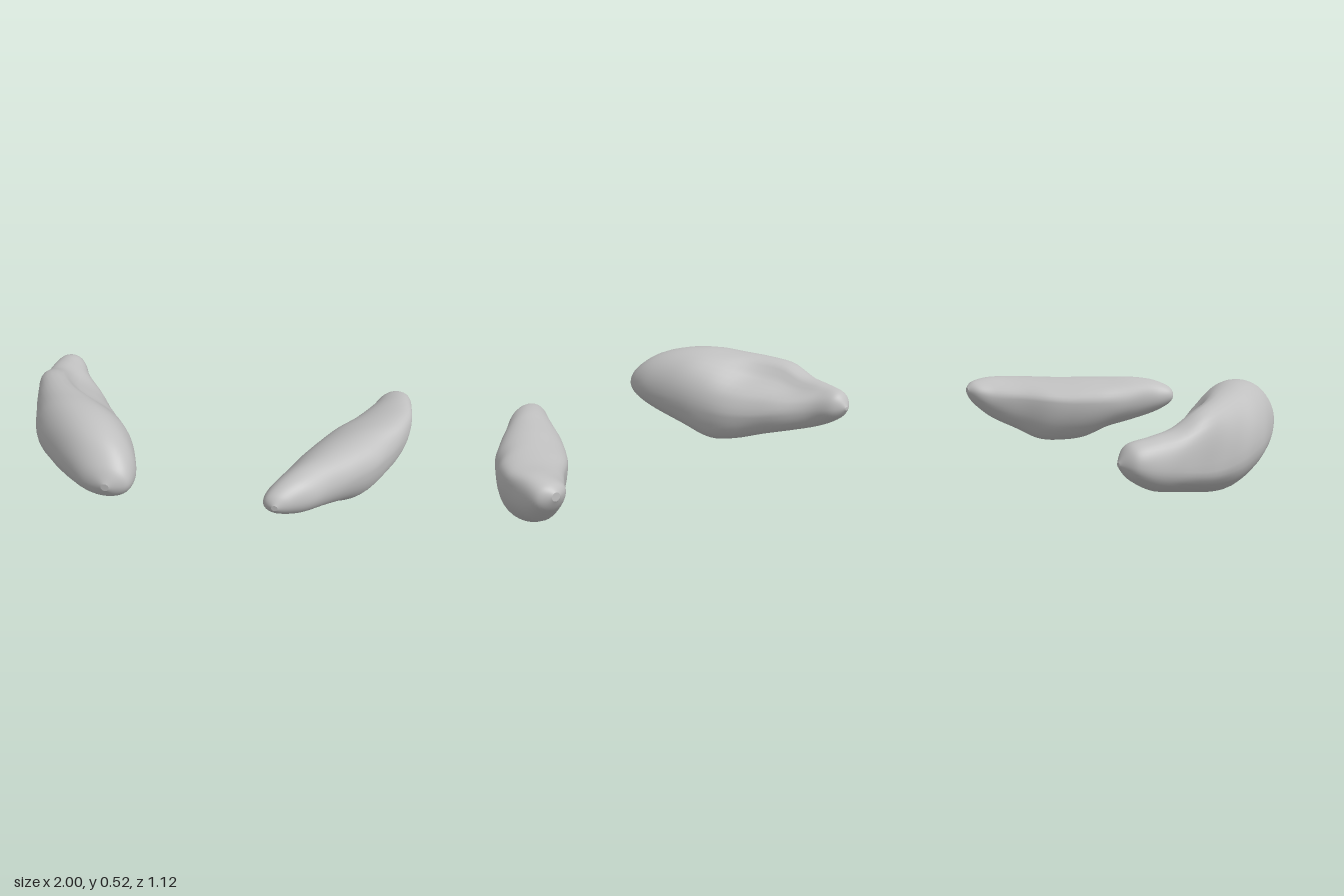
import * as THREE from 'three';

const stone = new THREE.MeshStandardMaterial({ color: 0xc0c0c0 });
stone.name = 'pale grey';

// Smooth value of one column of the key table at position t (0..1)
function sample(rows, col, t) {
  const f = t * (rows.length - 1);
  const i = Math.min(Math.floor(f), rows.length - 2);
  const u = f - i;
  const at = (k) => rows[Math.max(0, Math.min(rows.length - 1, k))][col];
  const a = at(i - 1), b = at(i), c = at(i + 1), d = at(i + 2);
  return b + 0.5 * u * (c - a + u * (2 * a - 5 * b + 4 * c - d + u * (3 * (b - c) + d - a)));
}

// Lofted lump; shoulder and taper set how full the upper and lower halves are. Each row:
// z, xMin, xMax, yBottom, yMiddle, yTop, crest lean, keel lean, dent on the upper +x flank
function lump(name, shoulder, taper, rows) {
  const rings = 72, sides = 40, pos = [], idx = [];
  for (let r = 0; r <= rings; r++) {
    const t = (1 - Math.cos((Math.PI * r) / rings)) / 2;
    const [z, x0, x1, yb, ym, yt, crest, keel, dent] = rows[0].map((_, c) => sample(rows, c, t));
    for (let s = 0; s < sides; s++) {
      const a = (s / sides) * Math.PI * 2;
      const n = Math.sin(a), up = n > 0;
      const c = Math.sign(Math.cos(a)) * Math.abs(Math.cos(a)) ** (up ? shoulder : taper);
      const ripple = 1 + 0.008 * Math.sin(3 * a + 17 * z) * Math.sin(23 * z + a);
      const groove = up ? dent * Math.exp(-(((c - 0.6) / 0.3) ** 2)) : 0;
      const x = (x0 + x1) / 2 + ((x1 - x0) / 2) * c * ripple + (up ? crest : keel) * n * n - groove * 0.7;
      const y = ym + (up ? yt - ym : ym - yb) * n - groove * 0.7;
      pos.push(x, y, z);
    }
  }
  for (let r = 0; r < rings; r++) {
    for (let s = 0; s < sides; s++) {
      const a = r * sides + s, b = r * sides + ((s + 1) % sides);
      idx.push(a, b, a + sides, b, b + sides, a + sides);
    }
  }
  // End tips
  for (const r of [0, rings]) {
    const row = rows[r ? rows.length - 1 : 0];
    const tip = pos.length / 3;
    pos.push((row[1] + row[2]) / 2, row[4], row[0]);
    for (let s = 0; s < sides; s++) {
      const a = r * sides + s, b = r * sides + ((s + 1) % sides);
      if (r) idx.push(tip, a, b);
      else idx.push(tip, b, a);
    }
  }
  const geo = new THREE.BufferGeometry();
  geo.setAttribute('position', new THREE.Float32BufferAttribute(pos, 3));
  geo.setIndex(idx);
  geo.computeVertexNormals();
  const mesh = new THREE.Mesh(geo, stone);
  mesh.name = name;
  return mesh;
}

export function createModel() {
  const group = new THREE.Group();
  group.name = 'curvedLumps';

  // Slim lump on the left, with a small foot under its middle
  group.add(lump('leftLump', 1, 1.1, [
    [-0.54, 0.89, 0.93, 0.28, 0.30, 0.32, 0, 0, 0],
    [-0.50, 0.835, 0.985, 0.22, 0.29, 0.35, 0.01, 0, 0],
    [-0.41, 0.78, 1.00, 0.14, 0.265, 0.365, 0.04, -0.01, 0],
    [-0.29, 0.70, 1.00, 0.075, 0.26, 0.363, 0.07, -0.03, 0],
    [-0.17, 0.60, 0.97, 0.01, 0.25, 0.36, 0.07, -0.02, 0],
    [-0.05, 0.53, 0.91, 0.0, 0.24, 0.36, 0.04, 0, 0],
    [0.06, 0.475, 0.85, 0.015, 0.24, 0.363, 0.02, 0.01, 0],
    [0.17, 0.43, 0.765, 0.075, 0.24, 0.366, 0.01, 0.01, 0],
    [0.29, 0.39, 0.66, 0.12, 0.25, 0.37, 0, 0, 0],
    [0.40, 0.345, 0.57, 0.165, 0.26, 0.358, 0, 0, 0],
    [0.475, 0.337, 0.475, 0.215, 0.27, 0.325, 0, 0, 0],
    [0.51, 0.38, 0.41, 0.255, 0.27, 0.285, 0, 0, 0],
  ]));

  // Thick lump on the right, its crest swinging outward and its keel inward
  group.add(lump('rightLump', 0.95, 1, [
    [-0.56, -0.915, -0.895, 0.285, 0.295, 0.305, 0, 0, 0],
    [-0.51, -0.98, -0.83, 0.225, 0.29, 0.37, 0, 0, 0],
    [-0.41, -1.00, -0.77, 0.165, 0.27, 0.39, -0.02, 0, 0.01],
    [-0.29, -0.995, -0.66, 0.125, 0.25, 0.41, -0.06, 0.02, 0.04],
    [-0.17, -0.98, -0.575, 0.09, 0.23, 0.465, -0.09, 0.05, 0.06],
    [-0.05, -0.955, -0.49, 0.05, 0.23, 0.488, -0.08, 0.08, 0.055],
    [0.07, -0.92, -0.425, 0.03, 0.25, 0.505, -0.04, 0.08, 0.015],
    [0.19, -0.865, -0.365, 0.07, 0.28, 0.52, -0.01, 0.06, 0],
    [0.31, -0.765, -0.315, 0.115, 0.29, 0.51, 0, 0.03, 0],
    [0.42, -0.65, -0.288, 0.16, 0.30, 0.47, 0, 0.01, 0],
    [0.51, -0.535, -0.30, 0.22, 0.30, 0.395, 0, 0, 0],
    [0.555, -0.42, -0.38, 0.285, 0.305, 0.325, 0, 0, 0],
  ]));

  return group;
}
